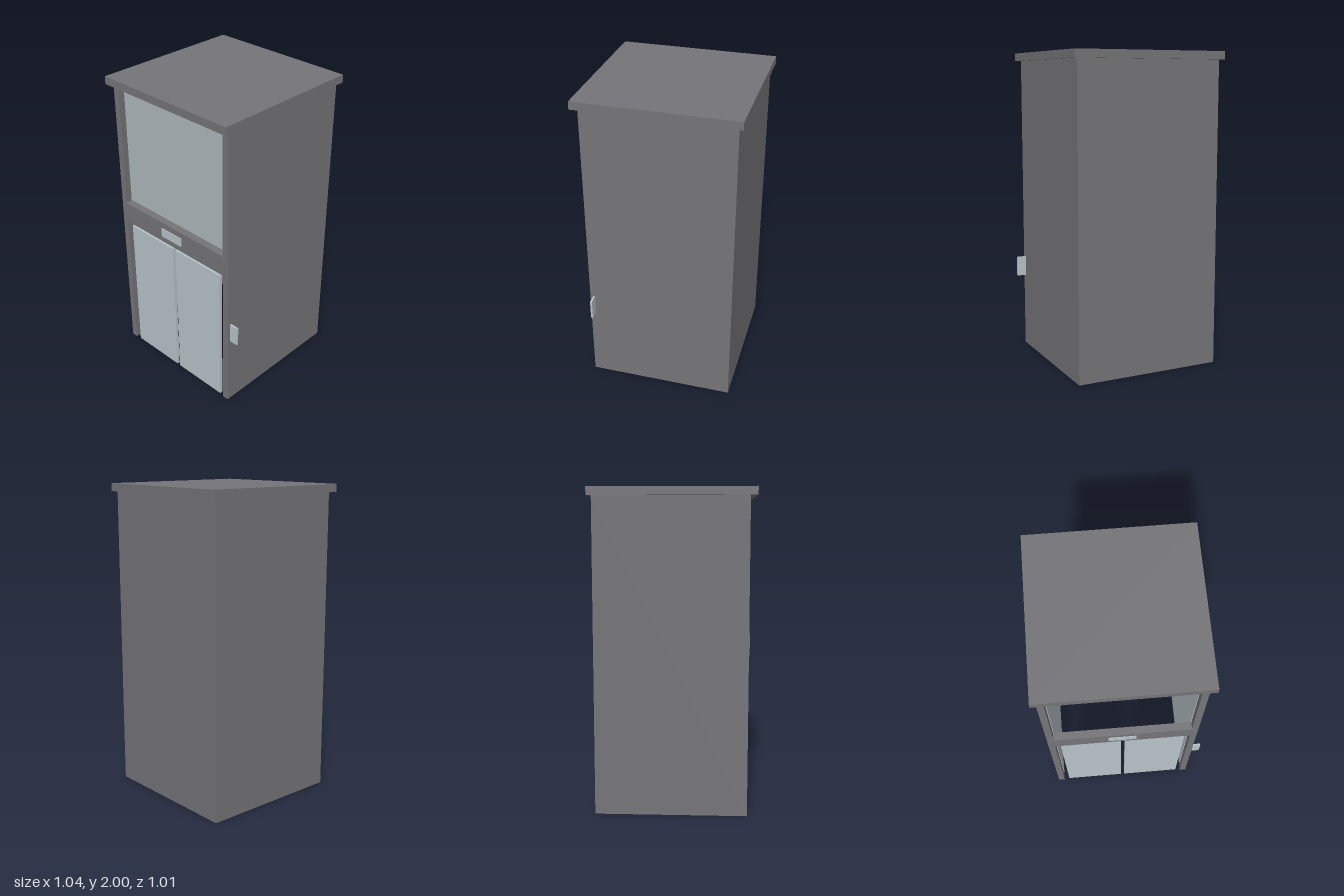
import * as THREE from 'three';

export function createModel() {
  const model = new THREE.Group();
  model.name = 'liftShaft';

  const material = (name, color) => {
    const m = new THREE.MeshStandardMaterial({ color });
    m.name = name;
    return m;
  };
  const dark = material('dark grey casing', 0x757579);
  const pale = material('pale steel', 0xb9c4c9);

  // Box given by its limits on each axis
  const box = (name, mat, [x0, x1], [y0, y1], [z0, z1], parent = model) => {
    const mesh = new THREE.Mesh(new THREE.BoxGeometry(x1 - x0, y1 - y0, z1 - z0), mat);
    mesh.position.set((x0 + x1) / 2, (y0 + y1) / 2, (z0 + z1) / 2);
    mesh.name = name;
    parent.add(mesh);
    return mesh;
  };

  // Casing: U-shaped plan, open at the front and underneath
  const plan = new THREE.Shape([
    [-0.497, 0.462], [-0.497, -0.477], [0.46, -0.477], [0.46, 0.462],
    [0.418, 0.462], [0.418, -0.435], [-0.455, -0.435], [-0.455, 0.462],
  ].map(([x, z]) => new THREE.Vector2(x, -z)));
  const casingGeometry = new THREE.ExtrudeGeometry(plan, { depth: 1.95, bevelEnabled: false });
  casingGeometry.rotateX(-Math.PI / 2);
  const casing = new THREE.Mesh(casingGeometry, dark);
  casing.name = 'casing';
  model.add(casing);

  // Overhanging roof slab
  box('roof', dark, [-0.52, 0.485], [1.95, 2], [-0.505, 0.505]);

  // Pale lining on the three inner walls
  const lining = new THREE.Group();
  lining.name = 'innerLining';
  model.add(lining);
  const liningHeight = [0.07, 1.91];
  box('backLining', pale, [-0.455, 0.418], liningHeight, [-0.435, -0.43], lining);
  box('rightLining', pale, [-0.455, -0.451], liningHeight, [-0.43, 0.42], lining);
  box('leftLining', pale, [0.414, 0.418], liningHeight, [-0.43, 0.42], lining);

  // Crossbeam above the doors with its indicator plate
  box('crossbeam', dark, [-0.475, 0.438], [0.99, 1.13], [0.417, 0.467]);
  box('indicatorPlate', pale, [-0.11, 0.067], [1.03, 1.09], [0.465, 0.472]);

  // Pair of sliding doors, each with an almost flush centre panel
  [['rightDoor', -0.225], ['leftDoor', 0.19]].forEach(([name, x]) => {
    const door = new THREE.Group();
    door.name = name;
    model.add(door);
    box('doorLeaf', pale, [x - 0.195, x + 0.195], [0, 0.963], [0.435, 0.455], door);
    box('doorPanel', pale, [x - 0.094, x + 0.094], [0.42, 0.89], [0.434, 0.456], door);
  });

  // Call plate sticking out of the side
  box('callPlate', pale, [0.42, 0.52], [0.49, 0.62], [0.43, 0.443]);

  return model;
}
